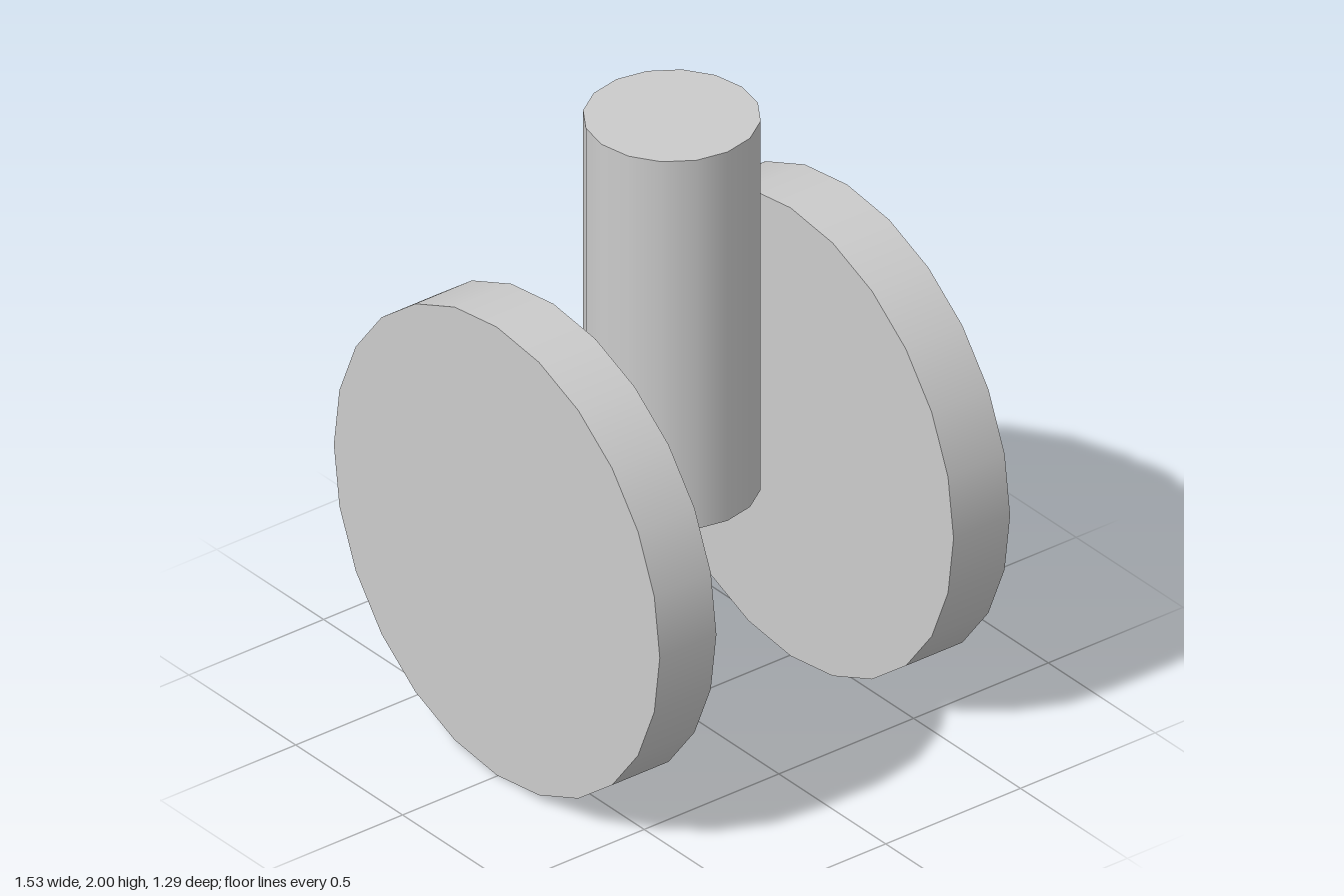
import * as THREE from 'three';

// Upright or lying cylinder with flat caps
function addCylinder(group, name, radius, length, sides, position, lying) {
  const geometry = new THREE.CylinderGeometry(radius, radius, length, sides);
  if (lying) geometry.rotateX(Math.PI / 2);
  const mesh = new THREE.Mesh(geometry, new THREE.MeshStandardMaterial({ color: 0xcccccc }));
  mesh.name = name;
  mesh.position.set(...position);
  group.add(mesh);
}

export function createModel() {
  const group = new THREE.Group();
  group.name = 'postBetweenDiscs';

  // Central upright post
  addCylinder(group, 'post', 0.26, 1.255, 16, [-0.003, 1.3725, -0.002], false);

  // Pair of upright discs, front and back, standing on the ground
  for (const [name, side] of [['frontDisc', 1], ['backDisc', -1]]) {
    addCylinder(group, name, 0.7625, 0.21, 24, [-0.004 * side, 0.7625, 0.542 * side], true);
  }
  return group;
}
